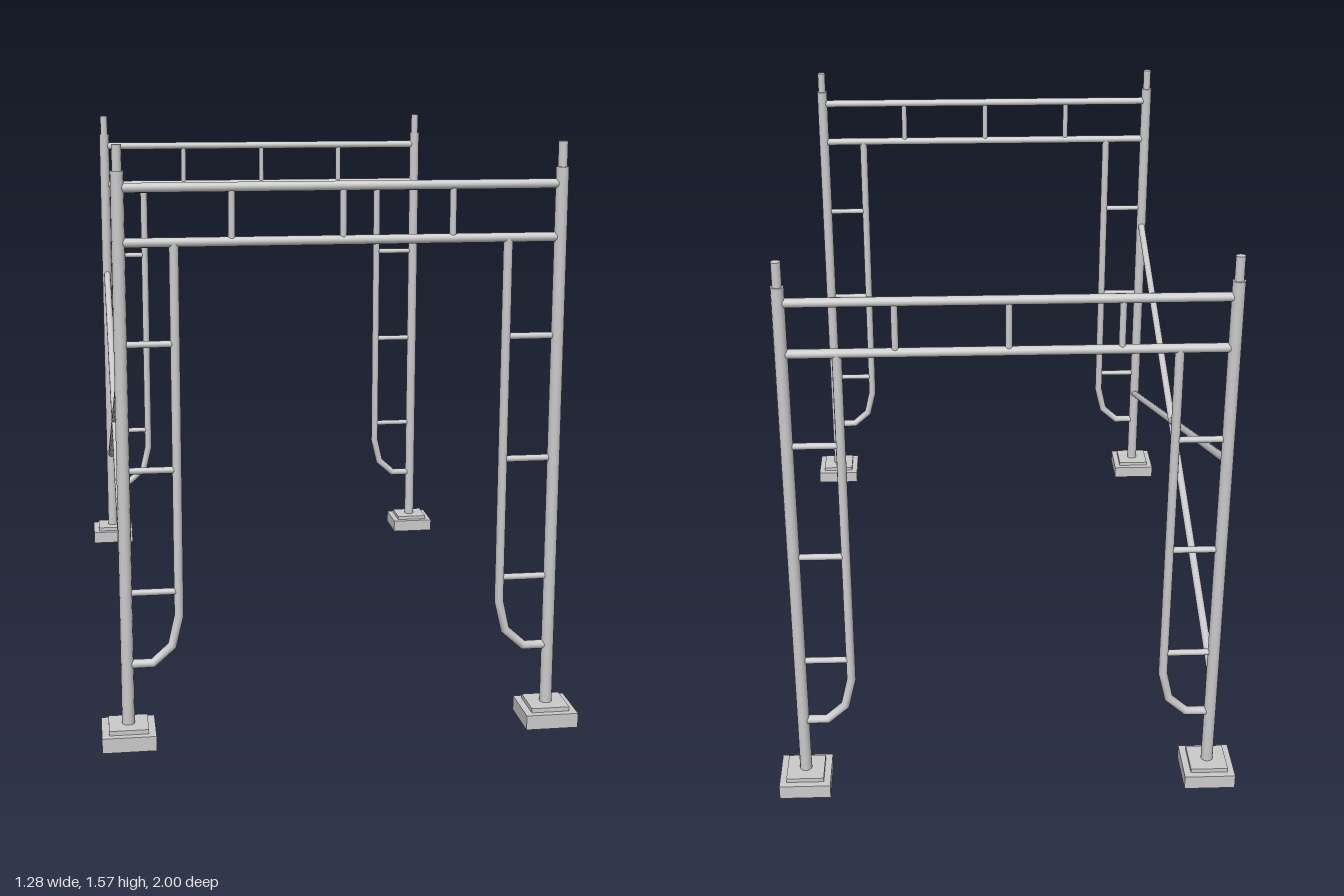
import * as THREE from 'three';

const material = new THREE.MeshStandardMaterial({ color: 0xcccccc });
const SIDES = 12;
const POST_X = 0.568, POST_Z = 0.929;
const UP = new THREE.Vector3(0, 1, 0);

function add(parent, name, geometry) {
  const mesh = new THREE.Mesh(geometry, material);
  mesh.name = name;
  parent.add(mesh);
  return mesh;
}

// Straight round bar between two points
function bar(parent, name, a, b, radius) {
  const from = new THREE.Vector3(...a), to = new THREE.Vector3(...b);
  const dir = to.clone().sub(from);
  const mesh = add(parent, name, new THREE.CylinderGeometry(radius, radius, dir.length(), SIDES));
  mesh.position.copy(from).add(to).multiplyScalar(0.5);
  mesh.quaternion.setFromUnitVectors(UP, dir.normalize());
  return mesh;
}

// Path whose tube rings sit exactly on the given corners
class CornerPath extends THREE.Curve {
  constructor(points) {
    super();
    this.points = points.map(([x, y]) => new THREE.Vector3(x, y, 0));
  }
  getPoint(t) {
    return this.points[Math.round(t * (this.points.length - 1))].clone();
  }
  getPointAt(u) {
    return this.getPoint(u);
  }
  getTangentAt(u) {
    const p = this.points, i = Math.round(u * (p.length - 1));
    const tangent = new THREE.Vector3();
    if (i > 0) tangent.add(p[i].clone().sub(p[i - 1]).normalize());
    if (i < p.length - 1) tangent.add(p[i + 1].clone().sub(p[i]).normalize());
    return tangent.normalize();
  }
}

// Square foot, open underneath, with a thin plate on top
function makeFoot(side) {
  const foot = new THREE.Group();
  foot.name = 'foot';
  foot.position.x = side * POST_X;
  const square = (path, h) => path.moveTo(-h, -h).lineTo(h, -h).lineTo(h, h).lineTo(-h, h).closePath();
  const shape = square(new THREE.Shape(), 0.071);
  shape.holes.push(square(new THREE.Path(), 0.044));
  const block = new THREE.ExtrudeGeometry(shape, { depth: 0.04, bevelEnabled: false });
  add(foot, 'footBlock', block.rotateX(-Math.PI / 2));
  add(foot, 'footPlate', new THREE.BoxGeometry(0.104, 0.014, 0.104)).position.y = 0.045;
  return foot;
}

// One walk-through end frame in the plane z = 0
function makeEndFrame() {
  const frame = new THREE.Group();
  frame.name = 'endFrame';
  for (const s of [-1, 1]) {
    const x = s * POST_X, innerX = s * 0.43;
    frame.add(makeFoot(s));
    bar(frame, 'post', [x, 0.045, 0], [x, 1.505, 0], 0.017);
    bar(frame, 'couplingPin', [x, 1.49, 0], [x, 1.57, 0], 0.0125);

    // Inner ladder rail, bent outward into the post at its foot
    const rail = new CornerPath([
      [innerX, 1.325], [innerX, 0.345], [s * 0.449, 0.262], [s * 0.5, 0.216], [x, 0.216],
    ]);
    add(frame, 'ladderRail', new THREE.TubeGeometry(rail, 4, 0.0125, SIDES, false));
    for (const y of [0.411, 0.738, 1.067]) {
      bar(frame, 'rung', [innerX, y, 0], [x, y, 0], 0.009);
    }
  }

  // Header: two beams joined by short struts
  for (const y of [1.325, 1.462]) {
    bar(frame, 'headerBeam', [-POST_X, y, 0], [POST_X, y, 0], 0.0125);
  }
  for (const x of [-0.284, 0, 0.284]) {
    bar(frame, 'headerStrut', [x, 1.325, 0], [x, 1.462, 0], 0.009);
  }
  return frame;
}

export function createModel() {
  const model = new THREE.Group();
  model.name = 'scaffold';
  for (const s of [-1, 1]) {
    const frame = makeEndFrame();
    frame.position.z = s * POST_Z;
    model.add(frame);
    // Cross brace on the right side only
    bar(model, 'crossBrace', [-POST_X, 0.322, s * POST_Z], [-POST_X, 1.004, -s * POST_Z], 0.0115);
  }
  return model;
}
